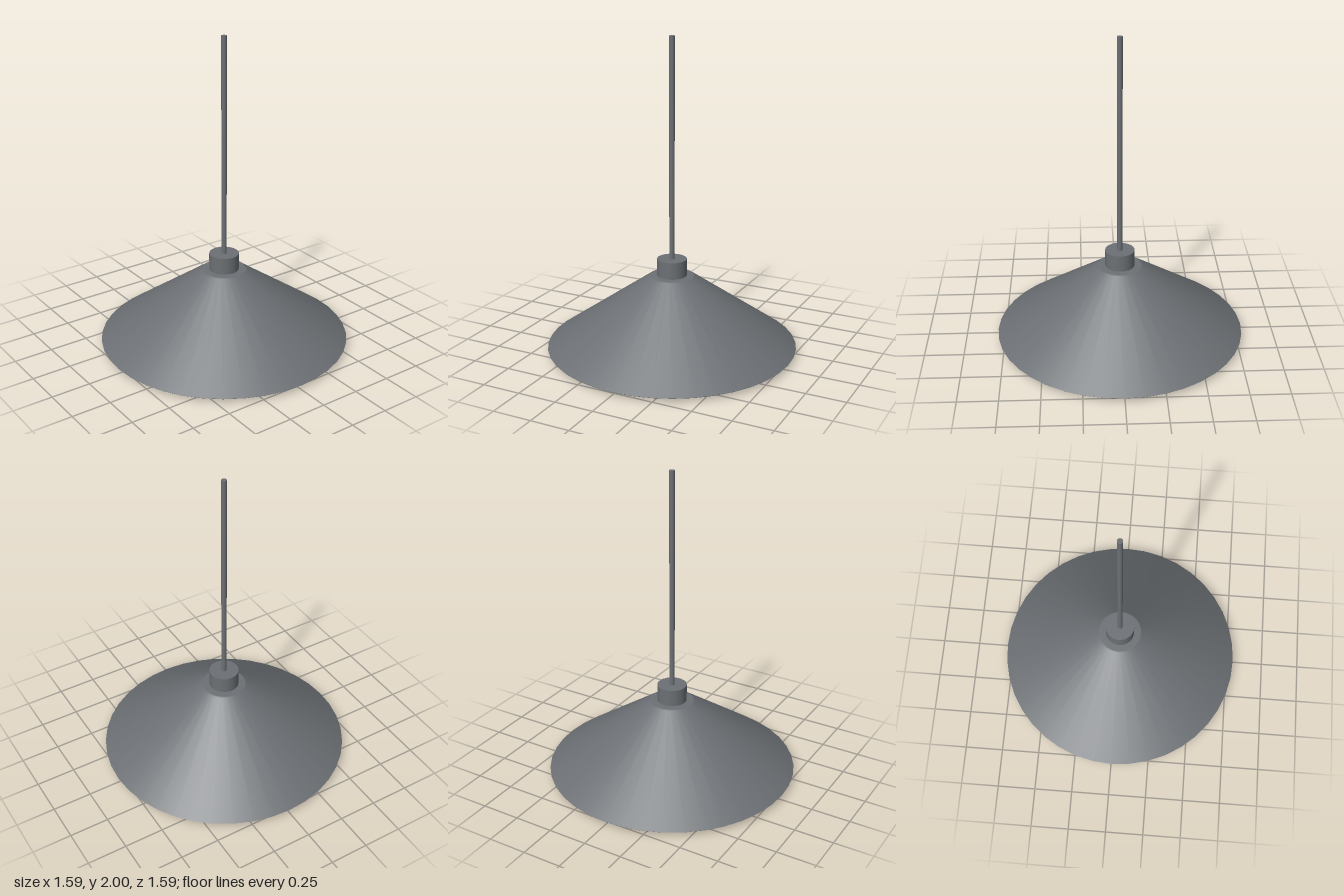
import * as THREE from 'three';

export function createModel() {
  const metal = new THREE.MeshStandardMaterial({ color: 0x6c7074 });
  metal.name = 'grey metal';
  const glow = new THREE.MeshStandardMaterial({ color: 0xcfc8bc });
  glow.name = 'cream diffuser';

  const lamp = new THREE.Group();
  lamp.name = 'pendantLamp';
  const add = (name, geometry, material, y = 0) => {
    const mesh = new THREE.Mesh(geometry, material);
    mesh.name = name;
    mesh.position.y = y;
    lamp.add(mesh);
  };
  const points = (...pairs) => pairs.map(([x, y]) => new THREE.Vector2(x, y));

  // Conical shade with a slightly softened shoulder and a thin rim
  add('shade', new THREE.LatheGeometry(
    points([0.79, 0.025], [0.795, 0.03], [0.145, 0.487], [0.135, 0.492], [0, 0.492]), 40), metal);

  // Flat underside closing the shade
  const underside = new THREE.CircleGeometry(0.79, 40);
  underside.rotateX(Math.PI / 2);
  add('underside', underside, metal, 0.025);

  // Light diffuser just below the rim
  add('diffuser', new THREE.CylinderGeometry(0.585, 0.585, 0.025, 40), glow, 0.0125);

  // Collar and suspension rod
  add('collar', new THREE.CylinderGeometry(0.094, 0.094, 0.11, 32), metal, 0.545);
  add('rod', new THREE.CylinderGeometry(0.017, 0.017, 1.4, 16), metal, 1.3);

  return lamp;
}
